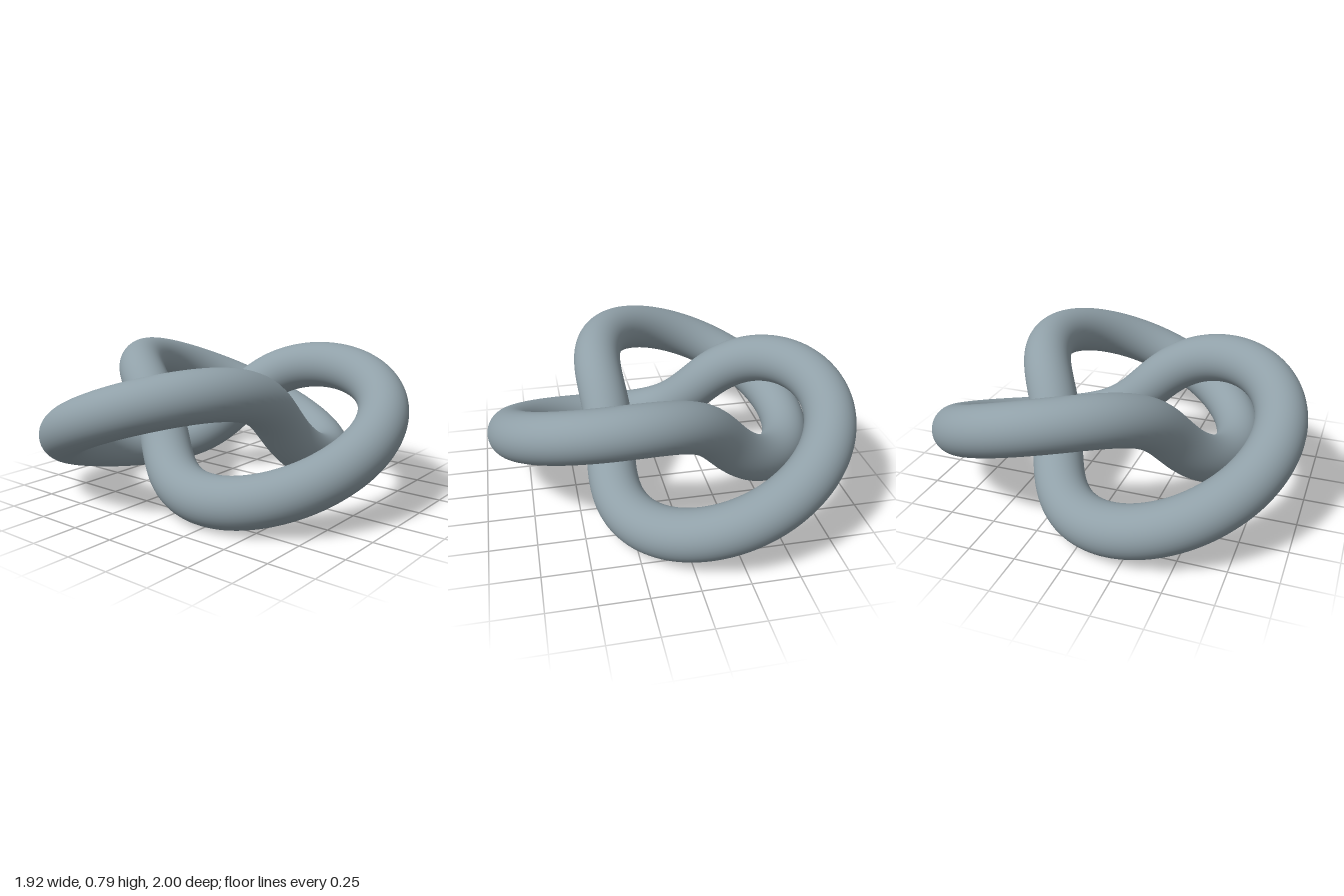
import * as THREE from 'three';

// Trefoil path: winds twice around the vertical axis and three times around the ring
class TrefoilCurve extends THREE.Curve {
  constructor(major, minor) {
    super();
    this.major = major;
    this.minor = minor;
  }
  getPoint(t, target = new THREE.Vector3()) {
    const angle = t * Math.PI * 4;
    const r = this.major + this.minor * Math.cos(1.5 * angle);
    return target.set(
      r * Math.cos(angle),
      -this.minor * Math.sin(1.5 * angle),
      r * Math.sin(angle)
    );
  }
}

export function createModel() {
  const group = new THREE.Group();
  group.name = 'trefoilKnot';

  const blueGrey = new THREE.MeshStandardMaterial({ color: 0x90a0a8 });
  blueGrey.name = 'blueGrey';

  // One closed, smooth round tube
  const geometry = new THREE.TubeGeometry(new TrefoilCurve(0.65, 0.264), 360, 0.133, 40, true);

  // Centre on x and z, and stand on the ground
  geometry.computeBoundingBox();
  const { min, max } = geometry.boundingBox;
  geometry.translate(-(min.x + max.x) / 2, -min.y, -(min.z + max.z) / 2);

  const knot = new THREE.Mesh(geometry, blueGrey);
  knot.name = 'knotTube';
  group.add(knot);
  return group;
}
